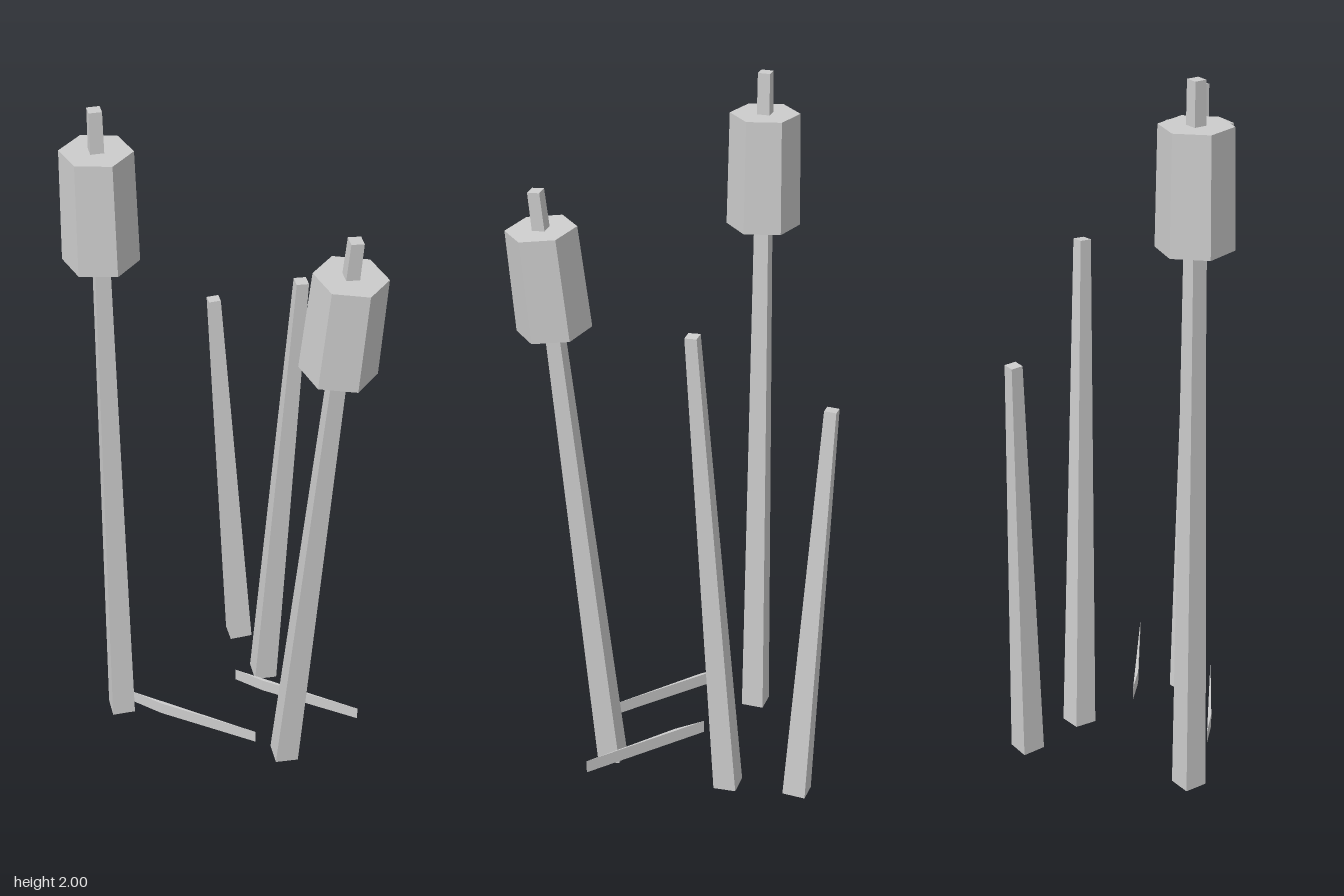
import * as THREE from 'three';

export function createModel() {
  const model = new THREE.Group();
  model.name = 'cattails';
  const grey = new THREE.MeshStandardMaterial({ color: 0xcccccc, flatShading: true });
  grey.name = 'light grey';
  const UP = new THREE.Vector3(0, 1, 0);

  function add(geometry, name, parent = model) {
    const mesh = new THREE.Mesh(geometry, grey);
    mesh.name = name;
    parent.add(mesh);
    return mesh;
  }

  // Tapered square stalk leaning from its base to its tip, with an optional seed head
  function reed(name, baseX, z, tipX, tipY, head) {
    const group = new THREE.Group();
    group.name = name;
    const base = new THREE.Vector3(baseX, 0.007, z);
    const axis = new THREE.Vector3(tipX, tipY, z).sub(base);
    const length = axis.length();
    group.position.copy(base);
    group.quaternion.setFromUnitVectors(UP, axis.normalize());
    add(new THREE.CylinderGeometry(0.024, 0.047, length, 4), 'stalk', group).position.y = length / 2;
    if (head) {
      const [from, to] = head;
      add(new THREE.CylinderGeometry(0.096, 0.102, to - from, 6), 'seedHead', group).position.y = (from + to) / 2;
    }
    model.add(group);
  }

  reed('tallCattail', -0.35, 0.21, -0.35, 2.0, [1.56, 1.878]);
  reed('leaningCattail', 0.17, 0.13, 0.36, 1.8, [1.408, 1.697]);
  reed('middleReed', -0.071, -0.148, 0.046, 1.44);
  reed('shortReed', -0.233, -0.268, -0.31, 1.205);

  // Thin bent blades lying low between the stalks
  function blade(name, x, z) {
    const outline = new THREE.Shape([
      new THREE.Vector2(0, 0),
      new THREE.Vector2(0.095, 0),
      new THREE.Vector2(0.395, 0.04),
    ]);
    const geometry = new THREE.ExtrudeGeometry(outline, { depth: 0.038, bevelEnabled: false });
    geometry.rotateX(-Math.PI / 2);
    add(geometry, name).position.set(x, 0.09, z);
  }
  blade('frontBlade', -0.275, 0.25);
  blade('rearBlade', -0.072, 0.01);

  return model;
}
